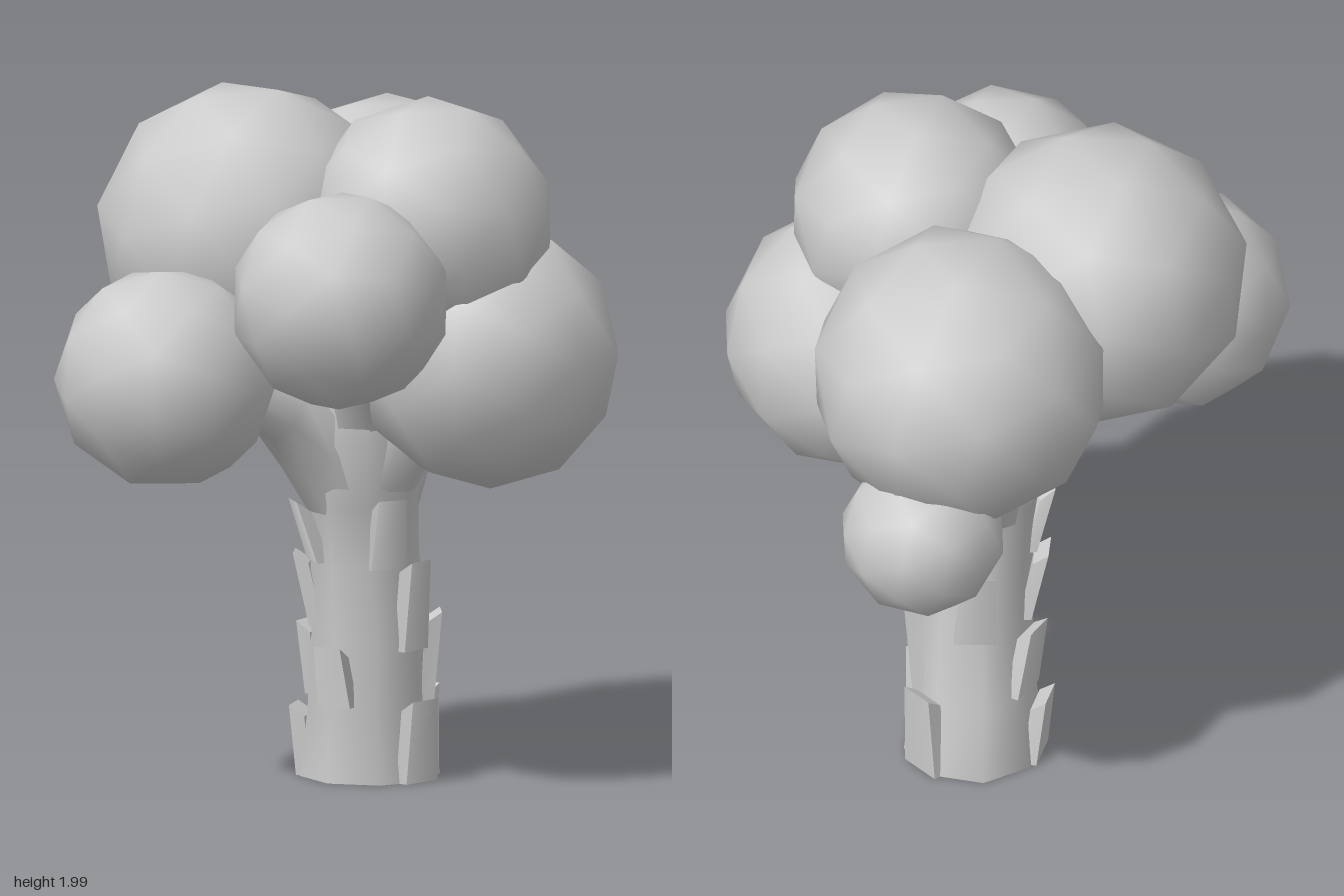
import * as THREE from 'three';

const bark = new THREE.MeshStandardMaterial({ color: 0xcccccc, side: THREE.DoubleSide });
const leaf = new THREE.MeshStandardMaterial({ color: 0xcccccc });

// Open tube through stations [x, y, z, radius]
function loft(stations, sides) {
  const pos = [], idx = [];
  const pts = stations.map(s => new THREE.Vector3(s[0], s[1], s[2]));
  const up = new THREE.Vector3(0, 1, 0);
  stations.forEach((s, i) => {
    const dir = pts[Math.min(i + 1, pts.length - 1)].clone().sub(pts[Math.max(i - 1, 0)]).normalize();
    if (i === 0) dir.copy(up);
    const q = new THREE.Quaternion().setFromUnitVectors(up, dir);
    for (let j = 0; j < sides; j++) {
      const a = (j + 0.5) / sides * Math.PI * 2;
      const v = new THREE.Vector3(Math.sin(a) * s[3], 0, Math.cos(a) * s[3]).applyQuaternion(q).add(pts[i]);
      pos.push(v.x, v.y, v.z);
      if (i > 0) {
        const k = (j + 1) % sides, p = (i - 1) * sides, c = i * sides;
        idx.push(p + j, p + k, c + k, p + j, c + k, c + j);
      }
    }
  });
  const g = new THREE.BufferGeometry();
  g.setAttribute('position', new THREE.Float32BufferAttribute(pos, 3));
  g.setIndex(idx);
  g.computeVertexNormals();
  return g;
}

// Trunk stations, leaning slightly forward
const trunkPath = [
  [-0.01, 0, -0.08, 0.2], [-0.01, 0.2, -0.065, 0.175], [0, 0.42, -0.03, 0.165],
  [-0.01, 0.64, -0.02, 0.155], [-0.01, 0.82, 0.01, 0.16], [-0.02, 0.98, 0.02, 0.2], [0, 1.25, 0, 0.2],
];

function trunkAt(y) {
  let i = 0;
  while (i < trunkPath.length - 2 && trunkPath[i + 1][1] < y) i++;
  const a = trunkPath[i], b = trunkPath[i + 1], t = (y - a[1]) / (b[1] - a[1]);
  return a.map((v, k) => v + (b[k] - v) * t);
}

// Bark flake: plate rooted in the trunk and peeling outward at its top
function flake(angle, y, h, w) {
  const lo = trunkAt(y), hi = trunkAt(y + h);
  const g = new THREE.BoxGeometry(1, 1, 1);
  const p = g.attributes.position;
  const a = angle * Math.PI / 180;
  for (let i = 0; i < p.count; i++) {
    const top = p.getY(i) > 0, out = p.getZ(i) > 0;
    const c = top ? hi : lo;
    const r = c[3] + (top ? (out ? 0.045 : 0) : (out ? 0 : -0.04));
    const side = p.getX(i) * w * (top ? 0.8 : 1);
    p.setXYZ(i,
      c[0] + Math.sin(a) * r + Math.cos(a) * side,
      y + (top ? h - (out ? 0 : 0.03) : 0),
      c[2] + Math.cos(a) * r - Math.sin(a) * side);
  }
  g.computeVertexNormals();
  // Outer face (vertices 16-19) shades round like the trunk
  for (let i = 16; i < 20; i++) {
    const b = a + (i % 2 ? 0.35 : -0.35);
    g.attributes.normal.setXYZ(i, Math.sin(b), 0, Math.cos(b));
  }
  return g;
}

export function createModel() {
  const tree = new THREE.Group();
  const add = (name, geo, mat) => {
    const m = new THREE.Mesh(geo, mat);
    m.name = name;
    tree.add(m);
    return m;
  };

  add('trunk', loft(trunkPath, 8), bark);

  // Branches leading into the crown
  const branches = [
    [[-0.02, 0.75, 0.01, 0.13], [-0.1, 0.98, 0.08, 0.145], [-0.2, 1.1, 0.2, 0.11], [-0.38, 1.2, 0.42, 0.07]],
    [[0, 0.72, -0.01, 0.13], [0, 0.92, -0.07, 0.165], [0, 1.06, -0.25, 0.13], [0, 1.1, -0.5, 0.08]],
    [[0, 0.8, 0.02, 0.13], [0.09, 1.0, 0.04, 0.13], [0.3, 1.25, 0.07, 0.08]],
    [[0, 0.95, 0.04, 0.14], [0.03, 1.15, 0.14, 0.11], [0.06, 1.4, 0.4, 0.07]],
  ];
  branches.forEach(b => add('branch', loft(b, 8), bark));

  // Bark flakes: angle from the front towards +x, base height, height, width
  const flakes = [
    [62, 0, 0.24, 0.13], [-90, 0, 0.2, 0.13], [145, 0, 0.25, 0.13],
    [-20, 0.22, 0.18, 0.11], [108, 0.18, 0.3, 0.13], [-105, 0.23, 0.21, 0.12],
    [68, 0.38, 0.26, 0.11], [-80, 0.44, 0.21, 0.12], [-165, 0.42, 0.24, 0.12],
    [40, 0.62, 0.21, 0.11], [-60, 0.63, 0.18, 0.11], [-42, 0.92, 0.18, 0.13],
  ];
  flakes.forEach(f => add('barkFlake', flake(...f), leaf));

  // Foliage balls: centre, radius, turn
  const balls = [
    [-0.325, 1.57, 0.085, 0.435, [0.2, 0.3, -0.25]],
    [0.225, 1.63, 0.155, 0.36, [0.3, 0.5, 0.15]],
    [0.065, 1.46, 0.54, 0.315, [0.15, 0.35, 0.25]],
    [-0.45, 1.215, 0.52, 0.32, [0.2, 0.15, 0]],
    [0.37, 1.245, 0.07, 0.385, [0, 0, 0.03]],
    [-0.045, 1.48, -0.365, 0.43, [0.2, 0.4, 0.2]],
    [0, 1.09, -0.61, 0.237, [0.15, 0, 0.1]],
  ];
  for (const [x, y, z, r, turn] of balls) {
    const ball = add('foliageBall', new THREE.IcosahedronGeometry(r, 1), leaf);
    ball.position.set(x, y, z);
    ball.rotation.set(...turn);
  }
  return tree;
}
